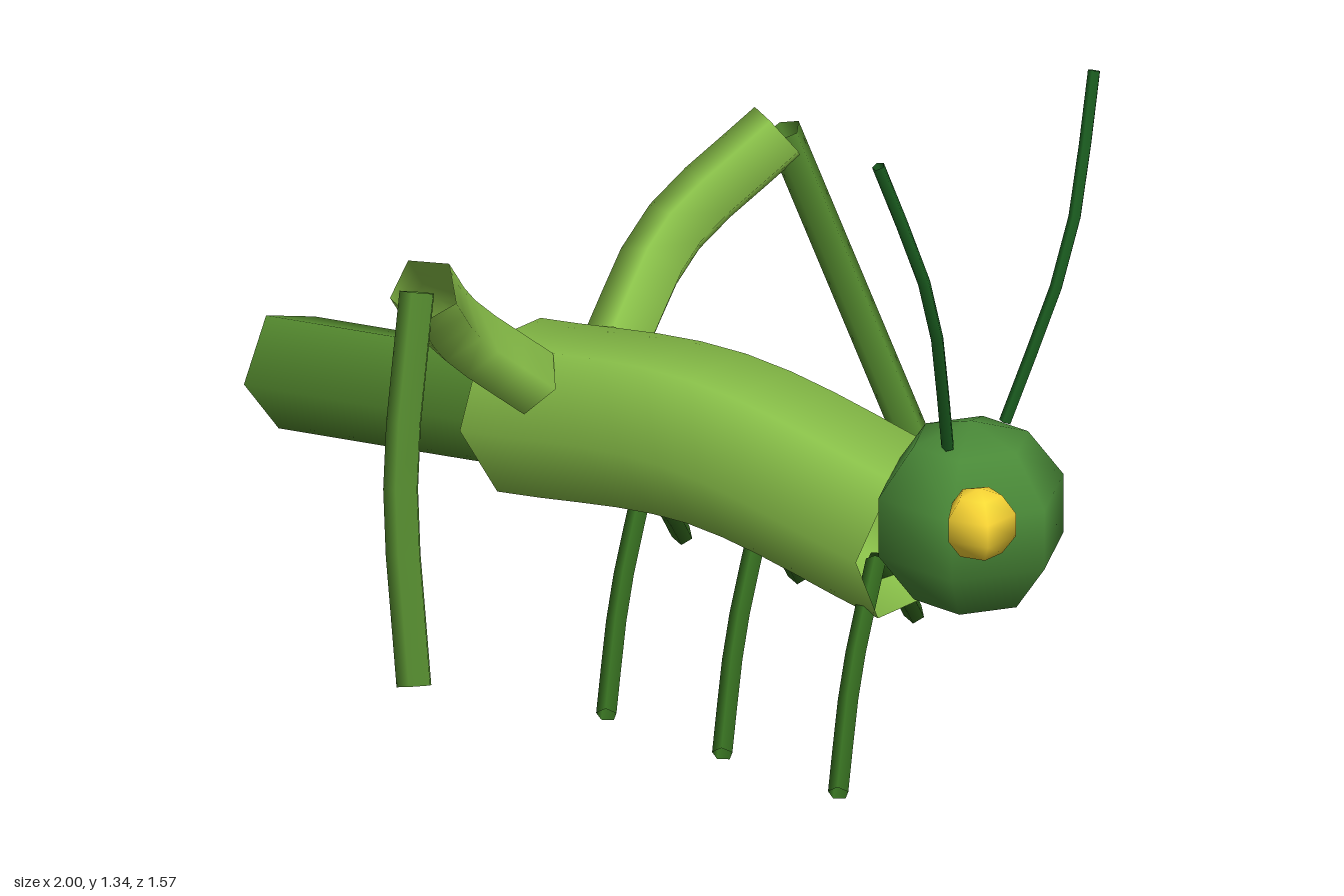
import * as THREE from 'three';

const paint = (color) => new THREE.MeshStandardMaterial({ color, side: THREE.DoubleSide });

const lightGreen = paint(0x8bc34a);
const midGreen = paint(0x558b2f);
const headGreen = paint(0x4a8a38);
const legGreen = paint(0x33691e);
const darkGreen = paint(0x1b5e20);
const yellow = paint(0xfdd835);

export function createModel() {
  const model = new THREE.Group();

  const add = (name, geometry, material) => {
    const mesh = new THREE.Mesh(geometry, material);
    mesh.name = name;
    model.add(mesh);
    return mesh;
  };

  // Open tube along a smooth curve; side mirrors the points across z
  const tube = (name, points, radius, steps, sides, material, side = 1) => {
    const curve = new THREE.CatmullRomCurve3(
      points.map(([x, y, z]) => new THREE.Vector3(x, y, z * side)));
    return add(name, new THREE.TubeGeometry(curve, steps, radius, sides), material);
  };

  // Arched thorax and straight abdomen
  tube('thorax', [[-0.38, 0.4, 0], [0.13, 0.47, 0], [0.645, 0.405, 0]], 0.175, 10, 6, lightGreen);
  tube('abdomen', [[-0.985, 0.314, 0], [-0.68, 0.357, 0], [-0.38, 0.4, 0]], 0.122, 6, 5, midGreen);

  // Head with its single eye
  add('head', new THREE.SphereGeometry(0.2, 6, 5), headGreen).position.set(0.79, 0.49, 0);
  add('eye', new THREE.SphereGeometry(0.075, 5, 5), yellow).position.set(0.941, 0.561, 0.147);

  for (const side of [1, -1]) {
    const label = side > 0 ? 'front' : 'back';

    // Antenna
    tube(label + 'Antenna', [[0.805, 0.665, 0.085], [0.865, 1.02, 0.205], [0.83, 1.34, 0.32]],
      0.013, 5, 5, darkGreen, side);

    // Jumping leg: thick upper part and thin lower part
    tube(label + 'HindThigh', [[-0.235, 0.53, 0.13], [-0.265, 0.69, 0.32], [-0.165, 0.868, 0.525]],
      0.07, 6, 5, lightGreen, side);
    tube(label + 'HindShin', [[-0.168, 0.867, 0.54], [-0.105, 0.52, 0.66], [0.008, 0.15, 0.75]],
      0.037, 6, 5, midGreen, side);

    // Three walking legs, swept forward on one side and backward on the other
    for (let i = 0; i < 3; i++) {
      const x = -0.055 + i * 0.3;
      tube(label + 'WalkingLeg' + (i + 1),
        [[x, 0.325, 0], [x + side * 0.108, 0.176, 0.195], [x + side * 0.243, 0.025, 0.39]],
        0.021, 5, 5, legGreen, side);
    }
  }

  return model;
}
